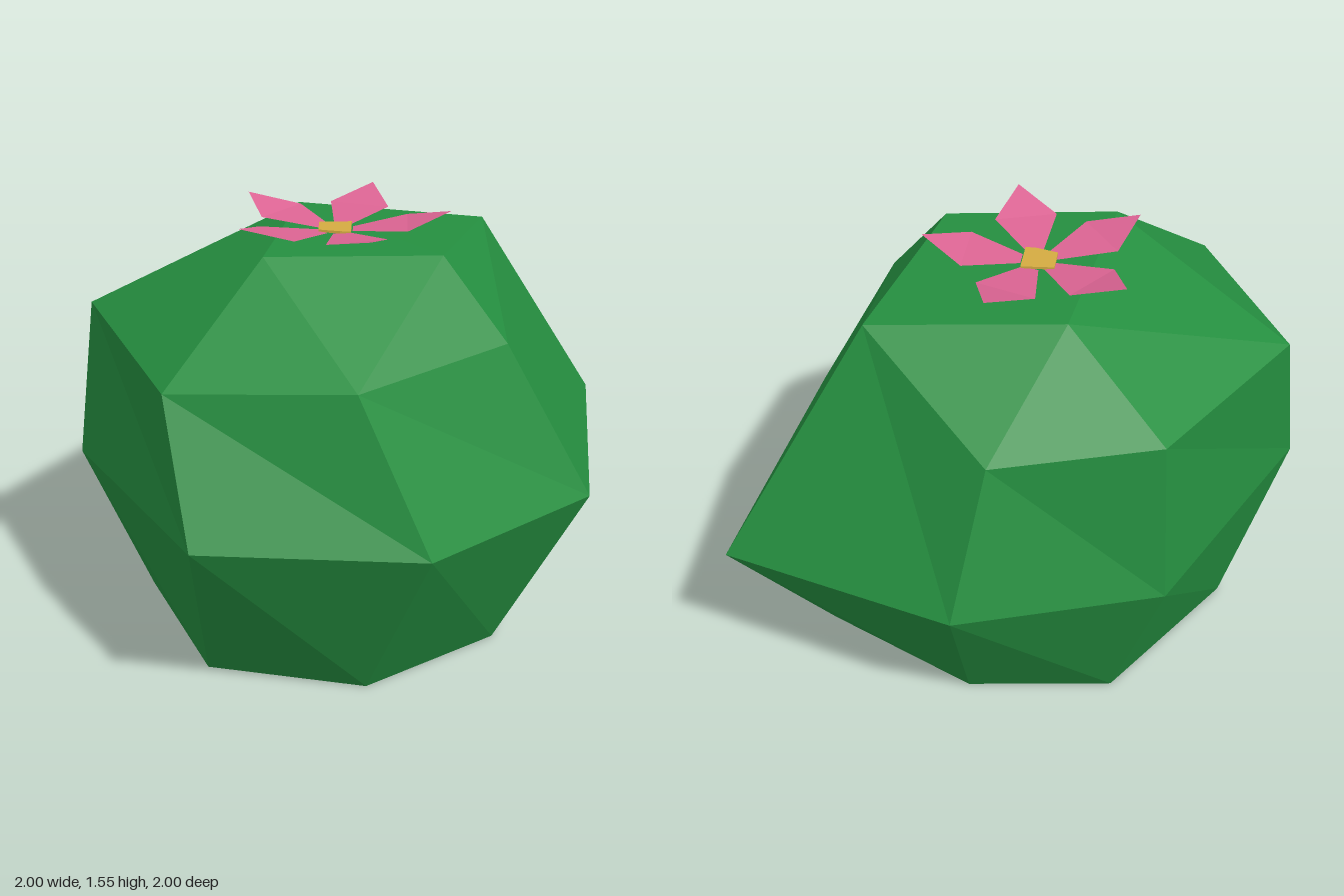
import * as THREE from 'three';

const green = new THREE.MeshStandardMaterial({ color: 0x258f40 });
green.name = 'cactusGreen';
const pink = new THREE.MeshStandardMaterial({ color: 0xdc6493, side: THREE.DoubleSide });
pink.name = 'petalPink';
const gold = new THREE.MeshStandardMaterial({ color: 0xd4ab42 });
gold.name = 'flowerGold';

// Faceted mesh from triangles of [x, y, z] corners
function facetedMesh(name, triangles, material) {
  const geometry = new THREE.BufferGeometry();
  geometry.setAttribute('position', new THREE.Float32BufferAttribute(triangles.flat(2), 3));
  geometry.computeVertexNormals();
  const mesh = new THREE.Mesh(geometry, material);
  mesh.name = name;
  return mesh;
}

// Irregular seven-sided body: three rings and a three-cornered crown
function createBody() {
  const base = [[-0.49, 0, 0.61], [0.09, 0, 0.73], [0.56, 0, 0.36], [0.71, 0, -0.41],
    [0.13, 0, -0.69], [-0.4, 0, -0.61], [-0.77, 0, -0.03]];
  const middle = [[-0.5, 0.65, 0.98], [0.31, 0.64, 1], [0.9, 0.59, 0.36], [1, 0.59, -0.74],
    [0.13, 0.61, -1], [-0.59, 0.63, -0.77], [-1, 0.64, 0.11]];
  const shoulder = [[-0.6, 1.13, 0.74], [0.06, 1.17, 0.83], [0.58, 1.18, 0.36], [0.52, 1.42, -0.41],
    [0.03, 1.15, -0.8], [-0.56, 1.22, -0.69], [-0.95, 1.2, 0]];
  const crown = [[-0.28, 1.49, 0.35], [0.35, 1.475, 0.27], [-0.19, 1.48, -0.39]];
  const crownOf = [0, 1, 1, 2, 2, 2, 0]; // crown corner above each shoulder edge
  const triangles = [crown];

  for (let i = 0; i < 7; i++) {
    const j = (i + 1) % 7;
    for (const [low, high] of [[base, middle], [middle, shoulder]]) {
      triangles.push([low[i], low[j], high[i]], [low[j], high[j], high[i]]);
    }
    triangles.push([shoulder[i], shoulder[j], crown[crownOf[i]]]);
    // underside
    if (i > 0 && i < 6) triangles.push([base[0], base[j], base[i]]);
  }
  // fill between the crown and the shoulder corners it shares
  triangles.push([shoulder[1], crown[1], crown[0]]);
  triangles.push([shoulder[3], crown[2], crown[1]]);
  triangles.push([shoulder[6], crown[0], crown[2]]);
  return facetedMesh('body', triangles, green);
}

// Five raised petals around a small flat centre
function createFlower() {
  const flower = new THREE.Group();
  flower.name = 'flower';
  flower.position.set(-0.035, 0, -0.015);
  const a = [0.06, 1.486, 0.03], b = [0.26, 1.51, 0.115], tip = [0.42, 1.555, 0];
  const mirror = ([x, y, z]) => [x, y, -z];
  for (let i = 0; i < 5; i++) {
    const petal = facetedMesh('petal', [
      [a, b, mirror(a)], [b, mirror(b), mirror(a)], [b, tip, mirror(b)],
    ], pink);
    petal.rotation.y = (i * Math.PI * 2) / 5;
    flower.add(petal);
  }
  const outline = [[-0.065, 0.055], [-0.065, -0.045], [0.015, -0.065], [0.055, -0.065], [0.055, 0.065]];
  const shape = new THREE.Shape(outline.map(([x, y]) => new THREE.Vector2(x, y)));
  const plate = new THREE.ExtrudeGeometry(shape, { depth: 0.009, bevelEnabled: false });
  plate.rotateX(-Math.PI / 2);
  const centre = new THREE.Mesh(plate, gold);
  centre.name = 'flowerCentre';
  centre.position.y = 1.486;
  flower.add(centre);
  return flower;
}

export function createModel() {
  const model = new THREE.Group();
  model.name = 'floweringCactus';
  model.add(createBody(), createFlower());
  return model;
}
